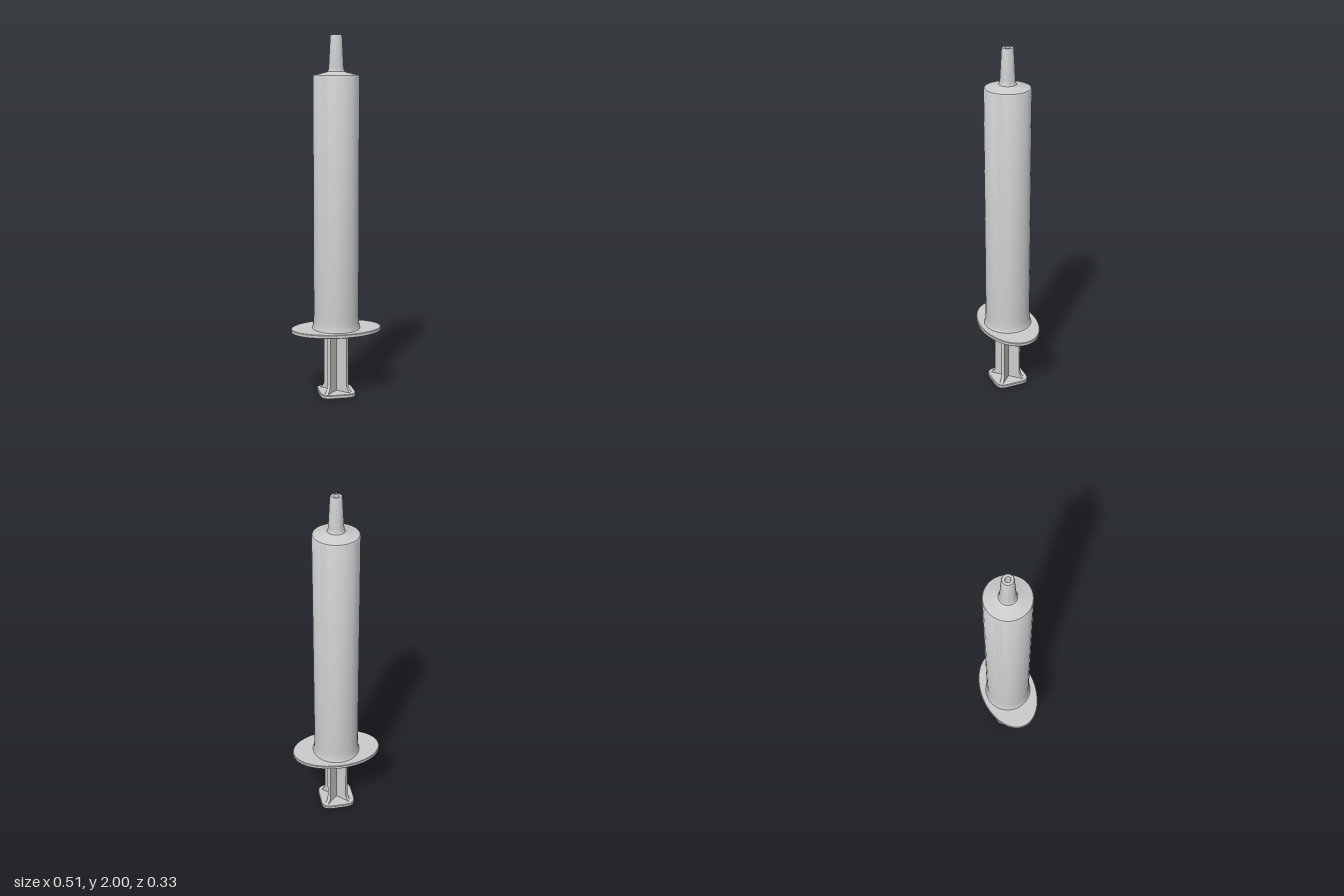
import * as THREE from 'three';
import { toCreasedNormals } from 'three/addons/utils/BufferGeometryUtils.js';

const grey = new THREE.MeshStandardMaterial({ color: 0xcccccc });

function part(name, geometry, crease = 0.6) {
  const mesh = new THREE.Mesh(toCreasedNormals(geometry, crease), grey);
  mesh.name = name;
  return mesh;
}

function lathe(name, points) {
  return part(name, new THREE.LatheGeometry(points.map(([r, y]) => new THREE.Vector2(r, y)), 36));
}

// Horizontal slab cut from a shape, standing on height y
function slab(name, shape, y, height, curveSegments) {
  const bevel = 0.003;
  const geometry = new THREE.ExtrudeGeometry(shape, {
    depth: height - 2 * bevel, curveSegments,
    bevelThickness: bevel, bevelSize: bevel, bevelOffset: -bevel, bevelSegments: 1,
  });
  geometry.rotateX(-Math.PI / 2).translate(0, y + bevel, 0);
  return part(name, geometry, 0.5);
}

// Square with rounded corners
function roundedSquare(h, c) {
  const s = new THREE.Shape();
  s.moveTo(h, -h + c).lineTo(h, h - c).quadraticCurveTo(h, h, h - c, h);
  s.lineTo(-h + c, h).quadraticCurveTo(-h, h, -h, h - c);
  s.lineTo(-h, -h + c).quadraticCurveTo(-h, -h, -h + c, -h);
  s.lineTo(h - c, -h).quadraticCurveTo(h, -h, h, -h + c);
  return s;
}

export function createModel() {
  const model = new THREE.Group();
  model.name = 'syringe';

  // Hollow barrel with shoulder, tapered nozzle and bore
  model.add(lathe('barrel', [
    [0.108, 0.368], [0.136, 0.384], [0.131, 0.395], [0.128, 0.42], [0.126, 0.46],
    [0.126, 1.782], [0.122, 1.788],
    [0.055, 1.802], [0.047, 1.806], [0.043, 1.815], [0.041, 1.83],
    [0.032, 1.996], [0.029, 2.0], [0.015, 2.0], [0.013, 1.997],
    [0.013, 1.785], [0.108, 1.77], [0.108, 0.368],
  ]));

  // Oval finger flange, open where the plunger enters
  const oval = new THREE.Shape();
  oval.absellipse(0, 0, 0.255, 0.165, 0, Math.PI * 2);
  const opening = new THREE.Path();
  opening.absarc(0, 0, 0.111, 0, Math.PI * 2, true);
  oval.holes.push(opening);
  model.add(slab('fingerFlange', oval, 0.365, 0.021, 18));

  // Plunger: thumb rest, crossed ribs and stopper
  const plunger = new THREE.Group();
  plunger.name = 'plunger';
  plunger.add(slab('thumbRest', roundedSquare(0.1, 0.055), 0, 0.021, 4));

  const w = 0.075, top = 1.66, t = 0.02;
  const rib = new THREE.Shape();
  rib.moveTo(-0.107, 0.018).lineTo(0.107, 0.018).quadraticCurveTo(w, 0.032, w, 0.07);
  rib.lineTo(w, top).lineTo(-w, top).lineTo(-w, 0.07).quadraticCurveTo(-w, 0.032, -0.107, 0.018);
  for (const side of [1, -1]) {
    const geometry = new THREE.ExtrudeGeometry(rib, { depth: t, bevelEnabled: false, curveSegments: 5 });
    geometry.translate(0, 0, -t / 2).rotateY(side * Math.PI / 4);
    plunger.add(part(side > 0 ? 'ribA' : 'ribB', geometry));
  }
  plunger.add(lathe('stopper', [
    [0, 1.65], [0.1, 1.65], [0.106, 1.66], [0.1, 1.68], [0.1, 1.72], [0.106, 1.74], [0.1, 1.75], [0, 1.765],
  ]));
  model.add(plunger);
  return model;
}
